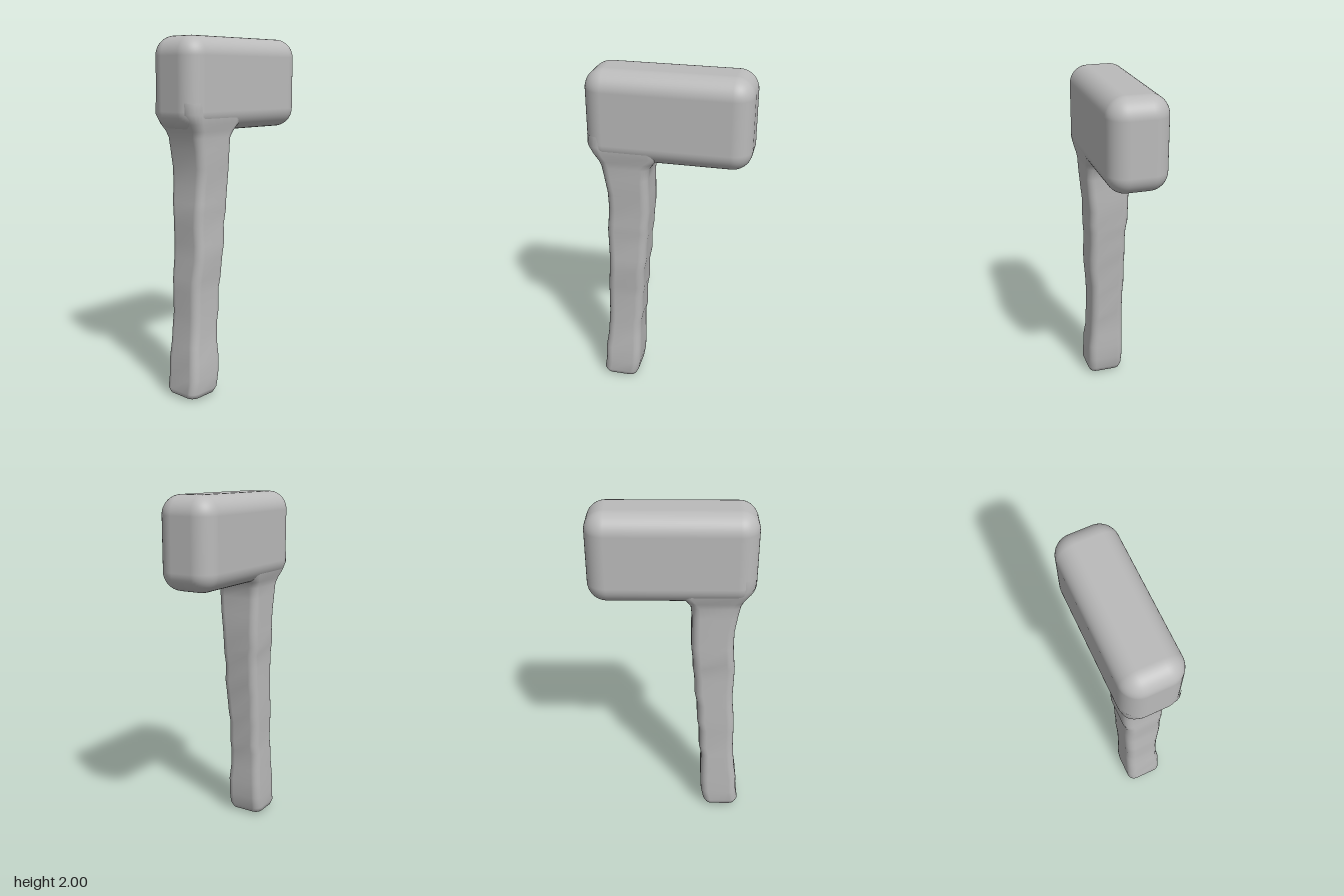
import * as THREE from 'three';
import { RoundedBoxGeometry } from 'three/addons/geometries/RoundedBoxGeometry.js';

const stone = new THREE.MeshStandardMaterial({ color: 0xbababa });
stone.name = 'plain grey';

// Handle sections from foot to head: y, left x, right x, back z, front z, corner radius
const sections = [
  [0.005, -0.385, -0.235, -0.07, 0.085, 0.03],
  [0.015, -0.405, -0.215, -0.09, 0.108, 0.04],
  [0.045, -0.418, -0.2, -0.1, 0.122, 0.045],
  [0.12, -0.405, -0.185, -0.102, 0.122, 0.045],
  [0.22, -0.402, -0.18, -0.102, 0.12, 0.045],
  [0.31, -0.388, -0.18, -0.1, 0.108, 0.045],
  [0.42, -0.378, -0.178, -0.1, 0.106, 0.045],
  [0.48, -0.374, -0.165, -0.096, 0.105, 0.045],
  [0.61, -0.372, -0.163, -0.1, 0.104, 0.045],
  [0.68, -0.37, -0.15, -0.102, 0.108, 0.045],
  [0.8, -0.358, -0.148, -0.102, 0.12, 0.045],
  [0.88, -0.355, -0.132, -0.102, 0.12, 0.045],
  [0.98, -0.358, -0.13, -0.102, 0.115, 0.045],
  [1.06, -0.358, -0.118, -0.104, 0.12, 0.045],
  [1.11, -0.352, -0.118, -0.115, 0.122, 0.045],
  [1.2, -0.345, -0.108, -0.115, 0.122, 0.045],
  [1.3, -0.345, -0.108, -0.118, 0.132, 0.045],
  [1.4, -0.36, -0.108, -0.12, 0.138, 0.045],
  [1.465, -0.373, -0.1, -0.122, 0.14, 0.05],
  [1.5, -0.388, -0.075, -0.132, 0.145, 0.055],
  [1.54, -0.415, -0.04, -0.148, 0.155, 0.06],
  [1.59, -0.442, -0.03, -0.16, 0.163, 0.07],
  [1.65, -0.445, -0.03, -0.162, 0.163, 0.08],
];

// Rounded-rectangle ring of points around one section
function ring([y, x0, x1, z0, z1, r]) {
  const points = [], steps = 5;
  const corners = [[x1 - r, z1 - r], [x0 + r, z1 - r], [x0 + r, z0 + r], [x1 - r, z0 + r]];
  corners.forEach(([cx, cz], c) => {
    for (let i = 0; i <= steps; i++) {
      const a = (c + i / steps) * Math.PI / 2;
      points.push([cx + r * Math.cos(a), y, cz + r * Math.sin(a)]);
    }
  });
  return points;
}

// Skin the sections into a smooth closed-foot tube
function loft(rows) {
  const rings = rows.map(ring), n = rings[0].length;
  const positions = rings.flat(2), index = [];
  for (let j = 0; j < rings.length - 1; j++) {
    for (let i = 0; i < n; i++) {
      const a = j * n + i, b = j * n + (i + 1) % n;
      index.push(a, a + n, b, b, a + n, b + n);
    }
  }
  // Foot cap
  const [y, x0, x1, z0, z1] = rows[0], centre = positions.length / 3;
  positions.push((x0 + x1) / 2, y - 0.005, (z0 + z1) / 2);
  for (let i = 0; i < n; i++) index.push(centre, i, (i + 1) % n);
  const geometry = new THREE.BufferGeometry();
  geometry.setAttribute('position', new THREE.Float32BufferAttribute(positions, 3));
  geometry.setIndex(index);
  geometry.computeVertexNormals();
  return geometry;
}

export function createModel() {
  const model = new THREE.Group();
  model.name = 'mallet';

  // Block head with soft edges
  const head = new THREE.Mesh(new RoundedBoxGeometry(0.9, 0.5, 0.332, 6, 0.105), stone);
  head.name = 'head';
  head.position.y = 1.75;

  // Slightly leaning, rough-hewn handle flaring into the head
  const handle = new THREE.Mesh(loft(sections), stone);
  handle.name = 'handle';

  model.add(head, handle);
  return model;
}
